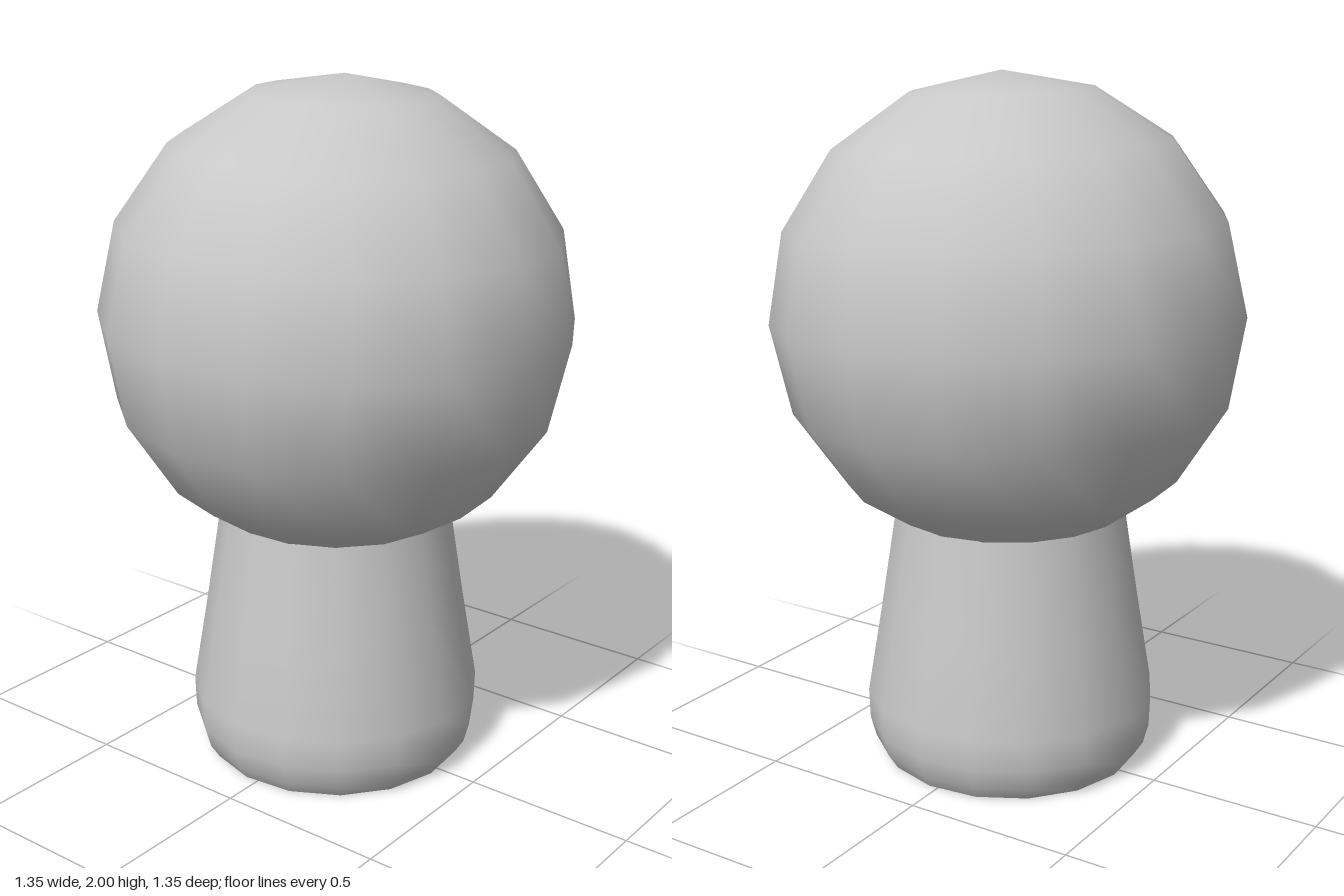
import * as THREE from 'three';

const SIDES = 16;
const deg = THREE.MathUtils.degToRad;

export function createModel() {
  const model = new THREE.Group();
  const grey = new THREE.MeshStandardMaterial({ color: 0xc8c8c8 });
  grey.name = 'plain grey';

  const add = (name, geometry, parent) => {
    const mesh = new THREE.Mesh(geometry, grey);
    mesh.name = name;
    parent.add(mesh);
    return mesh;
  };

  // Round head, slightly turned and leaning
  const head = add('head', new THREE.SphereGeometry(0.677, SIDES, 8), model);
  head.position.y = 1.324;
  head.rotation.set(0, deg(-5), deg(-2), 'ZYX');

  // Tapered body with a rounded foot, running up into the head
  const body = new THREE.Group();
  body.name = 'body';
  body.position.set(-0.006, 0, 0.002);
  body.rotation.y = deg(-5);
  model.add(body);

  const profile = [
    [0.382, 0], [0.408, 0.04], [0.424, 0.1], [0.427, 0.19], [0.382, 0.46], [0.337, 0.75], [0.331, 0.79],
  ].map(([r, y]) => new THREE.Vector2(r, y));
  add('bodySide', new THREE.LatheGeometry(profile, SIDES), body);

  // Flat underside
  const base = add('bodyBase', new THREE.CircleGeometry(0.382, SIDES), body);
  base.rotation.x = Math.PI / 2;

  return model;
}
